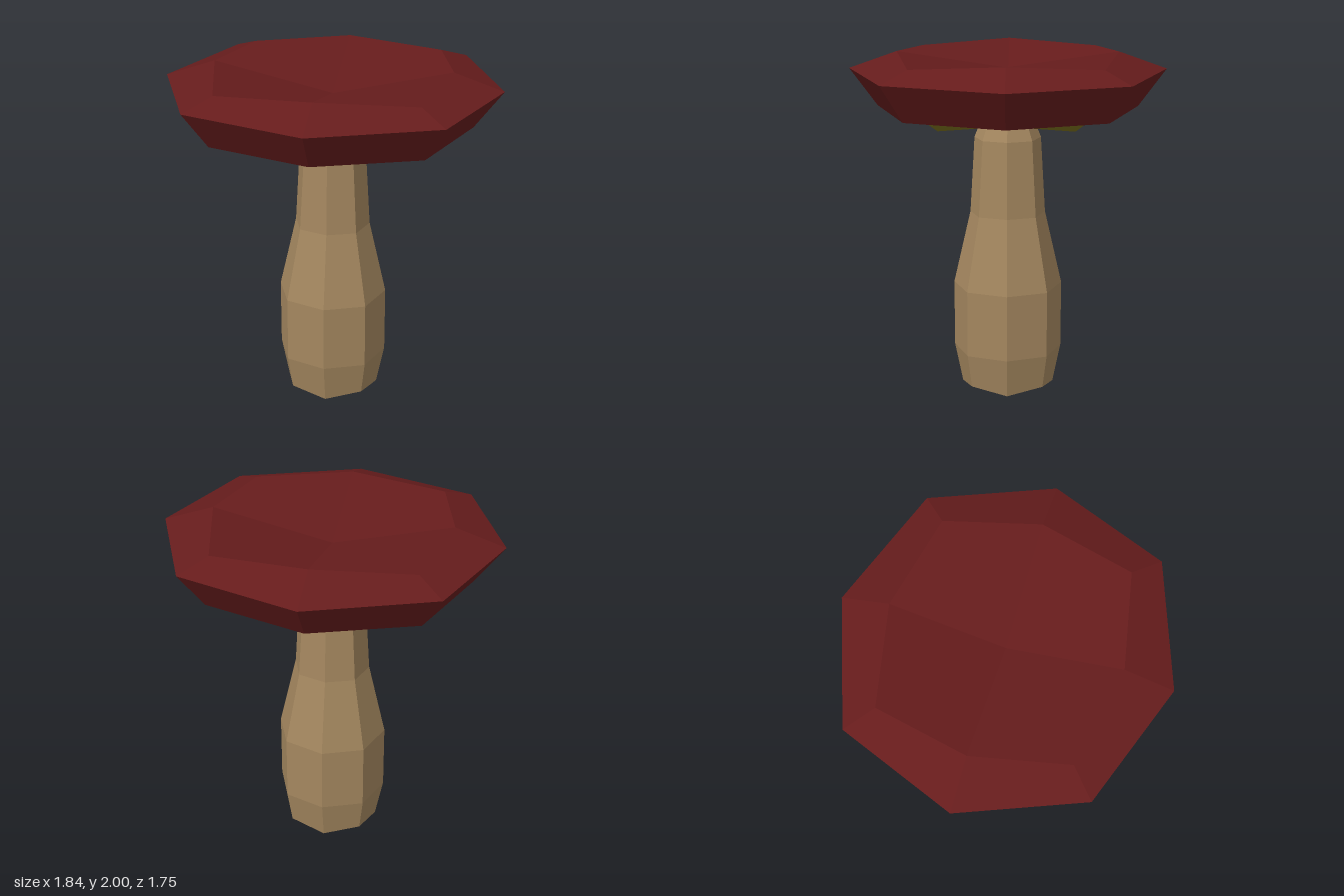
import * as THREE from 'three';

const capRed = new THREE.MeshStandardMaterial({ color: 0x661c1c });
capRed.name = 'cap red';
const gillOlive = new THREE.MeshStandardMaterial({ color: 0x7e721e });
gillOlive.name = 'gill olive';
const stemTan = new THREE.MeshStandardMaterial({ color: 0xa4875f });
stemTan.name = 'stem tan';

// Eight-sided ring: axis corners at (ax, y, az), diagonal corners at (dx, dy, dz)
function ring([ax, az, y, dx, dz, dy]) {
  return Array.from({ length: 8 }, (_, i) => {
    const c = Math.sign(Math.round(Math.cos(i * Math.PI / 4) * 2));
    const s = Math.sign(Math.round(Math.sin(i * Math.PI / 4) * 2));
    return new THREE.Vector3(c * (i % 2 ? dx : ax), i % 2 ? dy : y, s * (i % 2 ? dz : az));
  });
}

// Joins rings in order along the outside, with optional centre points closing the ends
function loft(name, material, profile, startY = null, endY = null) {
  const rings = profile.map(ring);
  const pos = [], normals = [];
  // Four-cornered facet, folded along a-c but shaded as one flat face
  const quad = (a, b, c, d) => {
    const n = c.clone().sub(a).cross(d.clone().sub(b)).normalize();
    for (const p of [a, b, c, a, c, d]) {
      pos.push(p.x, p.y, p.z);
      normals.push(n.x, n.y, n.z);
    }
  };
  for (let k = 0; k < rings.length - 1; k++) {
    const a = rings[k], b = rings[k + 1];
    for (let i = 0; i < 8; i++) {
      const j = (i + 1) % 8;
      quad(a[i], b[i], b[j], a[j]);
    }
  }
  const first = rings[0], last = rings[rings.length - 1];
  for (let i = 0; i < 8; i += 2) {
    const m = i + 1, j = (i + 2) % 8;
    if (startY !== null) quad(first[i], first[m], first[j], new THREE.Vector3(0, startY, 0));
    if (endY !== null) quad(last[j], last[m], last[i], new THREE.Vector3(0, endY, 0));
  }
  const g = new THREE.BufferGeometry();
  g.setAttribute('position', new THREE.Float32BufferAttribute(pos, 3));
  g.setAttribute('normal', new THREE.Float32BufferAttribute(normals, 3));
  const mesh = new THREE.Mesh(g, material);
  mesh.name = name;
  return mesh;
}

export function createModel() {
  const group = new THREE.Group();
  group.name = 'mushroom';

  // Stem: swollen low down, tapering up into the cap
  const stemRing = (r, d, y, dy = y) => [r, r, y, d, d, dy];
  group.add(loft('stem', stemTan, [
    stemRing(0.26, 0.2, 0.085, 0.12),
    stemRing(0.305, 0.222, 0.31),
    stemRing(0.305, 0.222, 0.685),
    stemRing(0.21, 0.157, 1.1),
    stemRing(0.185, 0.136, 1.525),
    stemRing(0.07, 0.05, 1.81),
  ], 0, 1.83));

  // Cap: flat underside band, flared side, bevelled rim and dished top
  const underside = [0.63, 0.6, 1.7, 0.46, 0.44, 1.7];
  group.add(loft('cap', capRed, [
    underside,
    [0.765, 0.72, 1.7, 0.56, 0.53, 1.7],
    [0.922, 0.873, 1.907, 0.67, 0.635, 1.907],
    [0.65, 0.61, 2, 0.535, 0.505, 1.97],
  ], null, 1.85));

  // Gills: a drooping lip around a hollow centre
  group.add(loft('gills', gillOlive, [
    [0.52, 0.49, 1.675, 0.385, 0.363, 1.625],
    underside,
  ], 1.835));

  return group;
}
